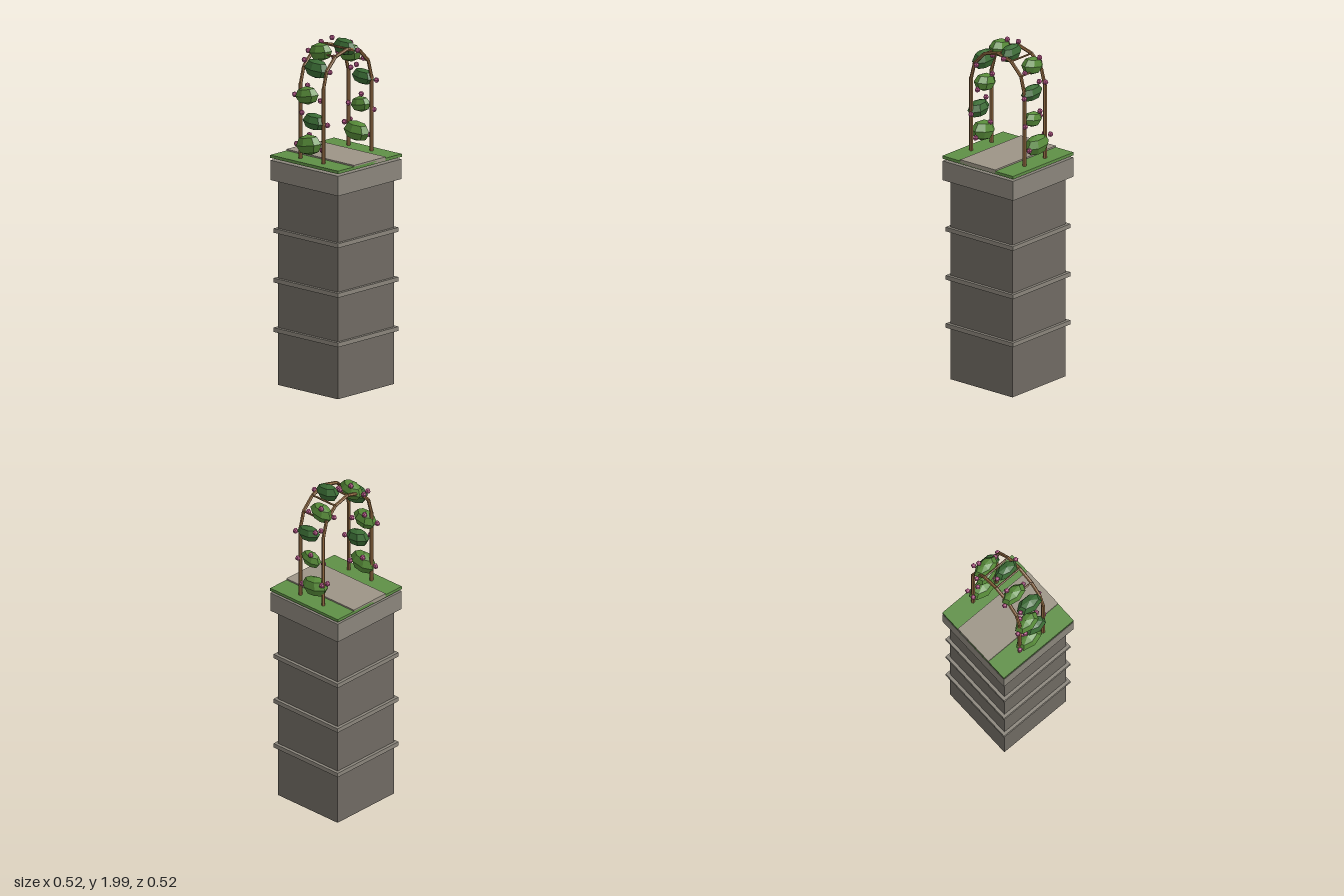
import * as THREE from 'three';

const mat = (color) => new THREE.MeshStandardMaterial({ color, flatShading: true });
const stone = mat(0x6f6a62), trim = mat(0x8a857b), grass = mat(0x5f8f46), paving = mat(0x9c9486);
const wood = mat(0x8f6840), leafLight = mat(0x568a38), leafDark = mat(0x3a6b34), pink = mat(0xb8588a);

export function createModel() {
  const model = new THREE.Group();

  const add = (name, geometry, material, x = 0, y = 0, z = 0, parent = model) => {
    const mesh = new THREE.Mesh(geometry, material);
    mesh.name = name;
    mesh.position.set(x, y, z);
    parent.add(mesh);
    return mesh;
  };

  // Square slab between two heights
  const slab = (name, width, y0, y1, material, depth = width) =>
    add(name, new THREE.BoxGeometry(width, y1 - y0, depth), material, 0, (y0 + y1) / 2, 0);

  // Six-sided pole between two points
  const pole = (name, a, b, radius, parent) => {
    const dir = new THREE.Vector3().subVectors(b, a);
    const mesh = add(name, new THREE.CylinderGeometry(radius, radius, dir.length(), 6), wood, 0, 0, 0, parent);
    mesh.position.addVectors(a, b).multiplyScalar(0.5);
    mesh.quaternion.setFromUnitVectors(new THREE.Vector3(0, 1, 0), dir.normalize());
  };

  // Pillar with three bands and a cap
  slab('pillar', 0.454, 0, 1.18, stone);
  [0.317, 0.601, 0.886].forEach((y) => slab('pillarBand', 0.49, y - 0.0125, y + 0.0125, trim));
  slab('pillarCap', 0.514, 1.176, 1.29, trim);

  // Lawn and path on top
  slab('lawn', 0.516, 1.303, 1.32, grass);
  slab('path', 0.256, 1.306, 1.328, paving, 0.516);

  // Two arches: posts and six straight segments each
  const arbor = new THREE.Group();
  arbor.name = 'arbor';
  model.add(arbor);
  const R = 0.195, spring = 1.745, depth = 0.087, steps = 6;
  const joint = (i, z) => {
    const t = (i / steps) * Math.PI;
    return new THREE.Vector3(R * Math.cos(t), spring + R * Math.sin(t), z);
  };
  for (const z of [-depth, depth]) {
    for (const x of [-R, R])
      pole('archPost', new THREE.Vector3(x, 1.315, z), new THREE.Vector3(x, spring + 0.005, z), 0.011, arbor);
    for (let i = 0; i < steps; i++) pole('archSegment', joint(i, z), joint(i + 1, z), 0.01, arbor);
  }
  // Rungs joining the two arches
  for (let i = 1; i < steps; i++) pole('archRung', joint(i, -depth), joint(i, depth), 0.006, arbor);

  // Leaf clumps: x, y, z, half width, half height, half depth
  const clumps = [
    [-0.198, 1.41, -0.02, 0.052, 0.06, 0.088],
    [-0.197, 1.55, 0.02, 0.048, 0.05, 0.078],
    [-0.197, 1.69, -0.035, 0.049, 0.052, 0.08],
    [-0.167, 1.846, 0.01, 0.049, 0.056, 0.085],
    [-0.087, 1.92, -0.035, 0.047, 0.052, 0.08],
    [0.043, 1.935, 0.024, 0.044, 0.05, 0.08],
    [0.15, 1.87, -0.033, 0.047, 0.052, 0.08],
    [0.195, 1.735, 0.024, 0.042, 0.046, 0.08],
    [0.19, 1.575, 0.01, 0.038, 0.045, 0.07],
    [0.192, 1.415, -0.022, 0.052, 0.058, 0.09],
  ];
  const leafShape = new THREE.SphereGeometry(1, 7, 4);
  const bloomShape = new THREE.SphereGeometry(0.016, 5, 4);
  clumps.forEach(([x, y, z, w, h, d], i) => {
    const group = new THREE.Group();
    group.name = 'roseClump';
    group.position.set(x, y, z);
    arbor.add(group);
    const even = i % 2 === 0;
    const leaves = add('leaves', leafShape, even || i === 9 ? leafLight : leafDark, 0, 0, 0, group);
    leaves.scale.set(w, h, d);
    leaves.rotation.x = even ? -0.18 : 0.08;

    // Blooms near both ends, and a third on top of some clumps
    add('bloom', bloomShape, pink, -0.016, even ? -0.005 : 0.04, -0.08, group);
    add('bloom', bloomShape, pink, 0.016, even ? -0.02 : -0.01, 0.085, group);
    if (even || i > 6) add('bloom', bloomShape, pink, 0.03, 0.047, even ? -0.025 : -0.08, group);
  });

  return model;
}
